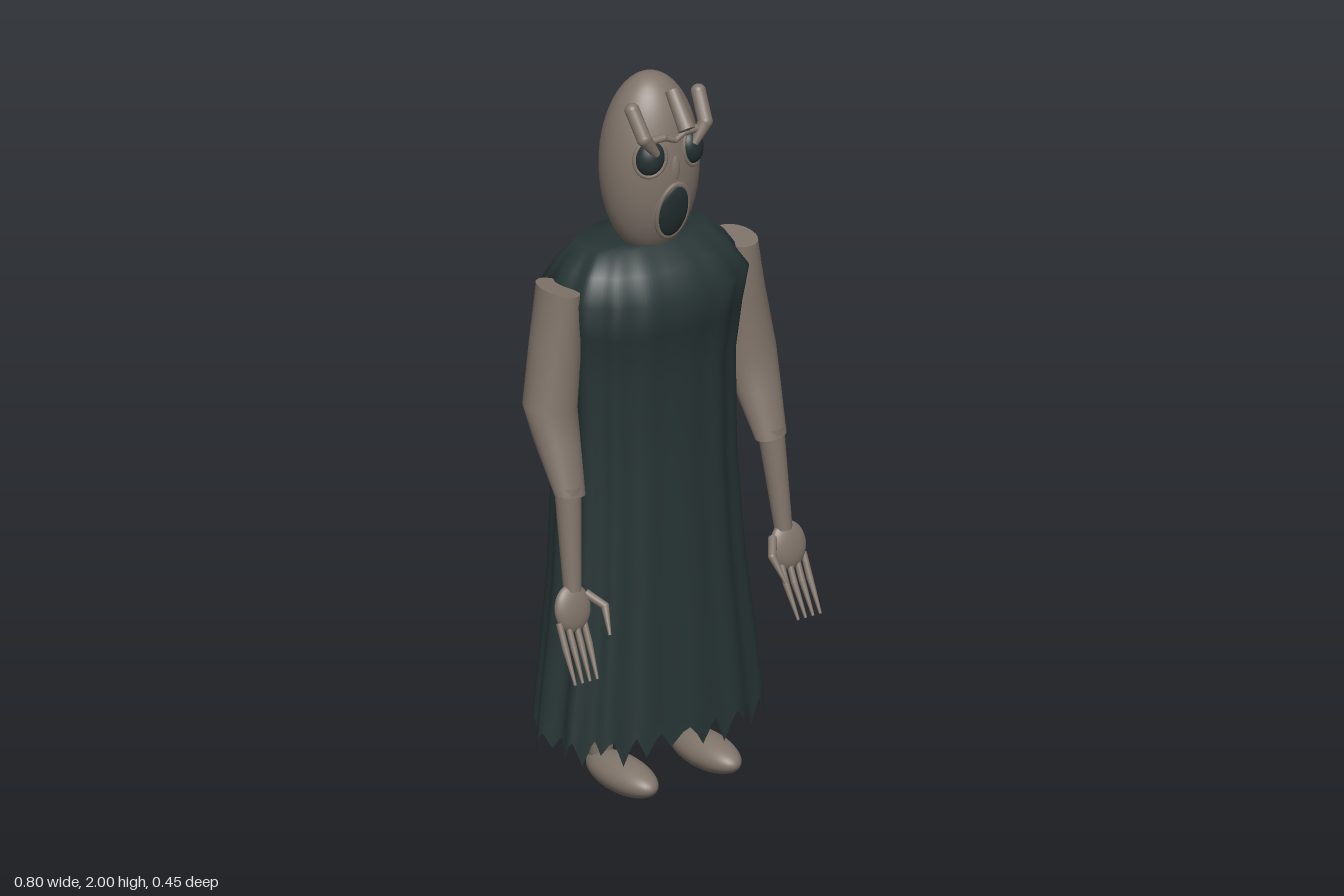
import * as THREE from 'three';

const skin = new THREE.MeshStandardMaterial({ color: 0x80746a });
skin.name = 'ashen skin';
const cloth = new THREE.MeshStandardMaterial({ color: 0x273434, side: THREE.DoubleSide });
cloth.name = 'dark cloth';
const hollow = new THREE.MeshStandardMaterial({ color: 0x243030 });
hollow.name = 'dark hollow';

const V = (x, y, z) => new THREE.Vector3(x, y, z);

function add(parent, name, geometry, material) {
  const mesh = new THREE.Mesh(geometry, material);
  mesh.name = name;
  parent.add(mesh);
  return mesh;
}

function ellipsoid(parent, name, material, center, radii) {
  const mesh = add(parent, name, new THREE.SphereGeometry(1, 40, 28), material);
  mesh.position.set(...center);
  mesh.scale.set(...radii);
  return mesh;
}

// Tapered rod from a to b, with an optional ball joint at its far end
function rod(parent, name, a, b, ra, rb, ball = false) {
  const mesh = add(parent, name, new THREE.CylinderGeometry(rb, ra, a.distanceTo(b), 16), skin);
  mesh.position.copy(a).add(b).multiplyScalar(0.5);
  mesh.quaternion.setFromUnitVectors(V(0, 1, 0), b.clone().sub(a).normalize());
  if (ball) ellipsoid(parent, name + 'Joint', skin, b.toArray(), [rb, rb, rb]);
}

// Closed rings from top to bottom, point(ring, angle, column, row) gives each corner
function loft(rings, segments, point) {
  const pos = [], index = [];
  rings.forEach((ring, i) => {
    for (let j = 0; j < segments; j++) {
      pos.push(...point(ring, (j / segments) * Math.PI * 2, j, i));
      if (i === rings.length - 1) continue;
      const a = i * segments + j, b = i * segments + ((j + 1) % segments);
      index.push(a, a + segments, b, b, a + segments, b + segments);
    }
  });
  const g = new THREE.BufferGeometry();
  g.setAttribute('position', new THREE.Float32BufferAttribute(pos, 3));
  g.setIndex(index);
  g.computeVertexNormals();
  return g;
}

// Robe rings: height, half width, front z, back z
function robeGeometry() {
  const rings = [
    [1.535, 0.06, 0.05, -0.07], [1.535, 0.19, 0.07, -0.14],
    [1.485, 0.24, 0.13, -0.182], [1.42, 0.282, 0.185, -0.221], [1.32, 0.268, 0.165, -0.212],
    [1.18, 0.257, 0.142, -0.203], [0.9, 0.255, 0.148, -0.193], [0.6, 0.275, 0.162, -0.188],
    [0.38, 0.302, 0.175, -0.192], [0.22, 0.322, 0.182, -0.195], [0.19, 0.328, 0.185, -0.197]];
  return loft(rings, 140, ([y, w, zf, zb], t, j, i) => {
    const s = Math.sin(t), c = Math.cos(t);
    // pleats gather at the sides and deepen towards the hem
    const depthOfPleats = i < 2 ? 0 : (0.012 + 0.002 * i) * (0.3 + Math.abs(s));
    const fold = 1 + depthOfPleats * Math.sin(14 * t + 1.2 * Math.sin(2 * t + 0.7));
    const soft = (v) => Math.sign(v) * Math.abs(v) ** 0.87;
    const mid = (zf + zb) / 2, depth = (zf - zb) / 2;
    // torn teeth along the hem
    const size = 0.058 + 0.022 * Math.sin(Math.floor(j / 5) * 2.3);
    const drop = i === rings.length - 1 ? [0, 0.45, 1, 0.6, 0.2][j % 5] * size : 0;
    return [w * soft(s) * fold, y - drop, mid + depth * soft(c) * fold];
  });
}

function buildHead(parent) {
  const head = new THREE.Group();
  head.name = 'head';
  parent.add(head);
  ellipsoid(head, 'skull', skin, [0, 1.745, 0], [0.137, 0.255, 0.124]);

  // Open mouth in a low muzzle
  const muzzle = ellipsoid(head, 'muzzle', skin, [0, 1.65, 0.088], [0.066, 0.1, 0.03]);
  const mouth = ellipsoid(head, 'mouth', hollow, [0, 1.642, 0.108], [0.046, 0.078, 0.017]);
  const lip = add(head, 'lip', new THREE.TorusGeometry(0.049, 0.006, 10, 40), skin);
  lip.position.set(0, 1.642, 0.106);
  lip.scale.set(1, 1.62, 1);
  for (const part of [muzzle, mouth, lip]) part.rotation.x = 0.2;
  ellipsoid(head, 'nose', skin, [0, 1.765, 0.114], [0.016, 0.045, 0.013]);

  for (const s of [-1, 1]) {
    // Bulging dark eyes with low rims
    const eye = ellipsoid(head, 'eye', hollow, [s * 0.066, 1.806, 0.096], [0.039, 0.048, 0.03]);
    const rim = add(head, 'eyeRim', new THREE.TorusGeometry(0.041, 0.006, 8, 32), skin);
    rim.position.set(s * 0.066, 1.804, 0.098);
    rim.scale.y = 1.2;
    for (const part of [eye, rim]) part.rotation.set(-0.15, s * 0.45, s * 0.25);

    // Bent side horns and beaded brow
    rod(head, 'sideHorn', V(s * 0.098, 1.875, 0.115), V(s * 0.106, 1.944, 0.073), 0.02, 0.02, true);
    rod(head, 'sideHornBase', V(s * 0.06, 1.822, 0.118), V(s * 0.098, 1.875, 0.115), 0.011, 0.02, true);
    rod(head, 'brow', V(s * 0.085, 1.86, 0.11), V(s * 0.035, 1.862, 0.115), 0.011, 0.01, true);
    rod(head, 'innerBrow', V(s * 0.035, 1.862, 0.115), V(0, 1.848, 0.118), 0.008, 0.008, true);
  }
  // Centre horn
  rod(head, 'centreHorn', V(0, 1.985, 0.103), V(0, 1.896, 0.17), 0.019, 0.023);
}

function buildArm(parent, s) {
  const arm = new THREE.Group();
  arm.name = s > 0 ? 'leftArm' : 'rightArm';
  parent.add(arm);

  // Upper arm and elbow: height, centre x, centre z, half width, half depth
  const rings = [
    [1.452, 0.285, -0.01, 0, 0], [1.452, 0.285, -0.01, 0.046, 0.077], [1.452, 0.285, -0.01, 0.046, 0.077],
    [1.3, 0.294, -0.009, 0.067, 0.073], [1.13, 0.318, 0.0, 0.075, 0.067], [1.04, 0.32, 0.035, 0.064, 0.058],
    [0.91, 0.322, 0.095, 0.045, 0.034], [0.91, 0.322, 0.095, 0.045, 0.034], [0.91, 0.322, 0.095, 0, 0]];
  add(arm, 'upperArm', loft(rings, 32, ([y, x, z, rx, rz], t) =>
    [s * x + rx * Math.sin(t), y + s * rx * Math.sin(t) * 0.12, z + rz * Math.cos(t)]), skin);
  rod(arm, 'forearm', V(s * 0.325, 0.93, 0.09), V(s * 0.338, 0.65, 0.13), 0.036, 0.024);

  // Palm, four fingers and bent thumb
  const palm = ellipsoid(arm, 'palm', skin, [s * 0.345, 0.605, 0.14], [0.055, 0.066, 0.024]);
  palm.rotation.x = -0.2;
  for (let i = 0; i < 4; i++) {
    const x = 0.316 + i * 0.025;
    const tip = 0.322 + i * 0.0235;
    rod(arm, 'finger', V(s * x, 0.575, 0.145), V(s * x, 0.51, 0.175), 0.009, 0.009, true);
    rod(arm, 'fingerTip', V(s * x, 0.51, 0.175), V(s * tip, 0.425, 0.22), 0.009, 0.004);
  }
  rod(arm, 'thumb', V(s * 0.3, 0.635, 0.135), V(s * 0.268, 0.605, 0.178), 0.012, 0.011, true);
  rod(arm, 'thumbTip', V(s * 0.268, 0.605, 0.178), V(s * 0.282, 0.54, 0.22), 0.011, 0.004);
}

function buildLeg(parent, s) {
  const leg = new THREE.Group();
  leg.name = s > 0 ? 'leftLeg' : 'rightLeg';
  parent.add(leg);
  rod(leg, 'shin', V(s * 0.133, 0.05, -0.03), V(s * 0.133, 0.8, -0.03), 0.031, 0.05);
  ellipsoid(leg, 'foot', skin, [s * 0.133, 0.048, 0.066], [0.061, 0.048, 0.14]);
}

export function createModel() {
  const model = new THREE.Group();
  model.name = 'robedWraith';
  add(model, 'robe', robeGeometry(), cloth);
  buildHead(model);
  for (const s of [-1, 1]) {
    buildArm(model, s);
    buildLeg(model, s);
  }
  return model;
}
